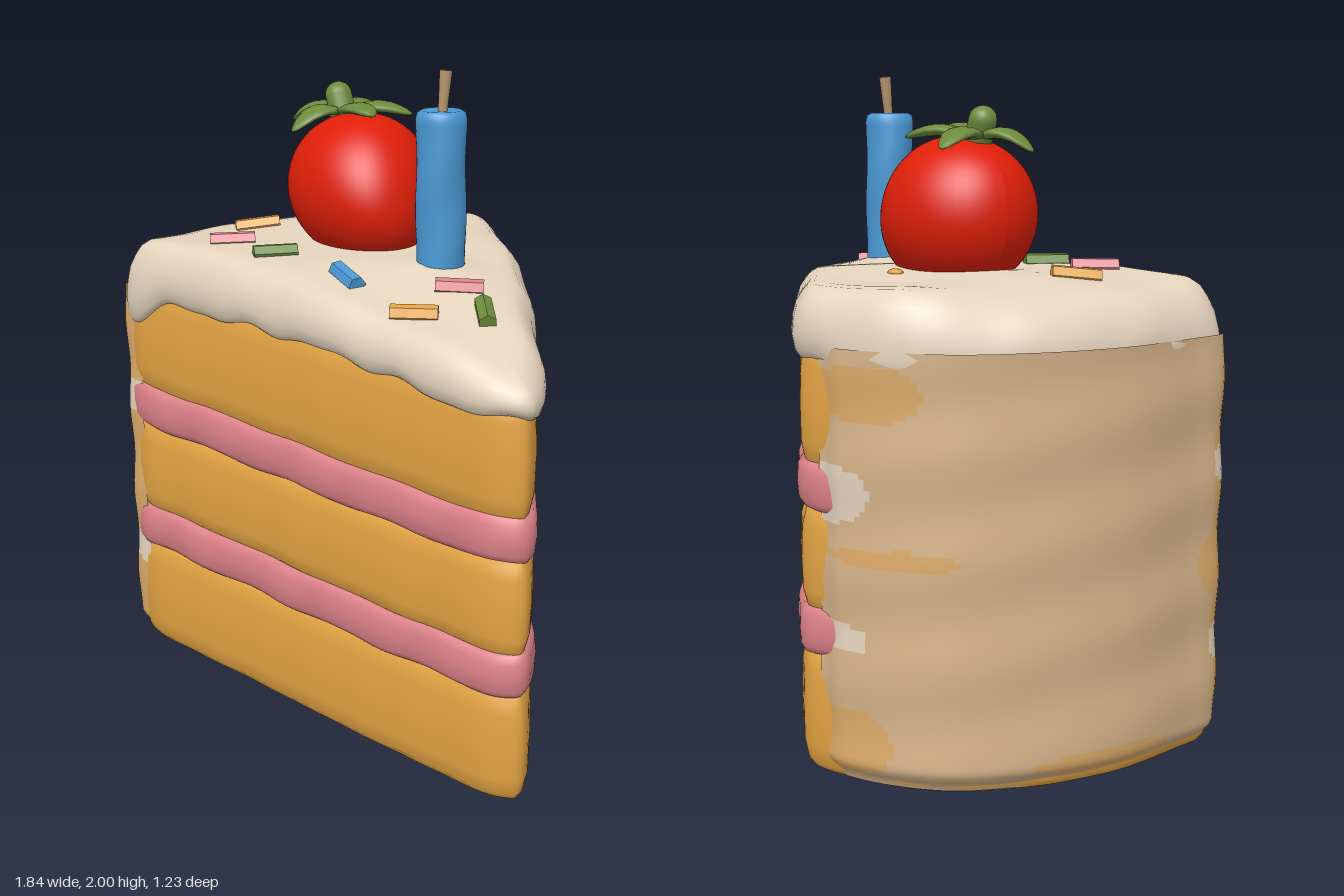
import * as THREE from 'three';

const mat = (name, color) => {
  const m = new THREE.MeshStandardMaterial({ color });
  m.name = name;
  return m;
};
const M = {
  sponge: mat('sponge yellow', 0xe4a443),
  jam: mat('berry pink', 0xdd8289),
  icing: mat('cream', 0xe6d5be),
  tan: mat('tan frosting', 0xd7b48a),
  crumb: mat('crumb smear', 0xddac6a),
  red: mat('strawberry red', 0xdf1f08),
  green: mat('leaf green', 0x6c8a3c),
  blue: mat('candle blue', 0x4a98d4),
  wick: mat('wick brown', 0xb4946c),
};
const V = (x, y, z) => new THREE.Vector3(x, y, z);
const smooth = THREE.MathUtils.smoothstep;
const bump = (x, z, cx, cz, w) => Math.exp(-((x - cx) ** 2 + (z - cz) ** 2) / w);

// Wedge outline seen from above (x, z), starting at the tip
const OUTLINE = [[0.91, 0.27], [0.85, 0.34], [0.6, 0.4], [0.2, 0.47], [-0.2, 0.53], [-0.5, 0.58],
  [-0.72, 0.605], [-0.83, 0.55], [-0.87, 0.4], [-0.91, 0.15], [-0.885, -0.1], [-0.79, -0.35],
  [-0.65, -0.49], [-0.5, -0.57], [-0.37, -0.605], [-0.27, -0.565], [0, -0.415], [0.3, -0.23],
  [0.6, -0.005], [0.8, 0.14]];
const curve = new THREE.CatmullRomCurve3(OUTLINE.map(([x, z]) => V(x, 0, z)), true);
const N = 280;
const ring = Array.from({ length: N }, (_, i) => {
  const p = curve.getPointAt(i / N), t = curve.getTangentAt(i / N);
  return { x: p.x, z: p.z, nx: t.z, nz: -t.x, u: i / N };
});

// Skin a grid of points; rows run upwards, columns follow the outline
function skin(rows, closed, pick) {
  const n = rows[0].length, pos = rows.flat().flatMap((p) => [p.x, p.y, p.z]), lists = [[], [], []];
  for (let j = 0; j < rows.length - 1; j++) {
    for (let i = 0; i < (closed ? n : n - 1); i++) {
      const a = j * n + i, b = j * n + ((i + 1) % n);
      lists[pick ? pick(rows[j][i]) : 0].push(a, a + n, b, b, a + n, b + n);
    }
  }
  const g = new THREE.BufferGeometry();
  g.setAttribute('position', new THREE.Float32BufferAttribute(pos, 3));
  g.setIndex(lists.flat());
  let start = 0;
  if (pick) lists.forEach((l, k) => { g.addGroup(start, l.length, k); start += l.length; });
  g.computeVertexNormals();
  return g;
}

// Point of the outline moved inwards, then scaled about the middle
function inset(r, d, s = 1) {
  return V(-0.2 + (r.x - r.nx * d + 0.2) * s, 0, 0.05 + (r.z - r.nz * d - 0.05) * s);
}

// One cake layer with rounded, uneven edges
function layer(y0, y1, out, round, wave) {
  const h = y1 - y0;
  const rows = [[0, round, 0], [0, round, 0.6], [0, round, 0.97], [0, round], [0.06, round * 0.45],
    [0.2, 0.003], [0.5, 0], [0.8, 0.003], [0.94, round * 0.45], [1, round], [1, round, 0.97], [1, round, 0]];
  return skin(rows.map(([t, d, s]) => ring.map((r) => {
    const w = wave * (Math.sin(r.u * 132 + y0 * 9) + Math.sin(r.u * 82 + t * 3 + y0 * 20)) * 0.3;
    const p = inset(r, d + 0.01 - out + w, s);
    p.y = (y0 + t * h) * (1 - 0.05 * (p.x + 0.7) / 1.6);
    if (y0 > 0) p.y += wave * 0.7 * Math.sin(r.u * 75 + y0 * 8);
    return p;
  })), true);
}

// Height of the icing top and of its dripping lower edge
const topY = (x, z) => 1.412 - 0.05 * smooth(x, 0.15, 0.65) - 0.085 * smooth(x, 0.55, 1)
  - 0.025 * smooth(z, 0.1, 0.35) * smooth(x, -0.1, 0.2) - 0.03 * smooth(-x, 0.6, 0.9)
  + 0.025 * bump(x, z, 0.2, 0.03, 0.015) + 0.02 * bump(x, z, -0.25, 0, 0.09)
  + 0.008 * Math.sin(9 * x + 4 * z) * Math.sin(8 * z - 3 * x);
const lowY = (x, z, u) => 1.225 - 0.065 * smooth(x, 0.1, 0.9) - 0.03 * smooth(-x, 0.5, 0.85)
  - 0.09 * bump(x, z, -0.77, 0.58, 0.025) - 0.07 * bump(x, z, -0.62, -0.5, 0.05)
  + 0.008 * Math.sin(u * 88) + 0.005 * Math.sin(u * 145);

function icing() {
  const rows = [[0.04, 0.06], [0.01, 0.035], [0, 0.015], [0.1, 0], [0.3, -0.008], [0.5, -0.004],
    [0.68, 0.006], [0.82, 0.018, 0.99], [0.92, 0.027, 0.975], [0.98, 0.033, 0.945]];
  for (let s = 0.88; s > 0; s -= 0.08) rows.push([1, 0.035, s]);
  rows.push([1, 0.035, 0]);
  return skin(rows.map(([t, d, s]) => ring.map((r) => {
    const left = 0.03 * t * smooth(-r.x, 0.7, 0.85);
    const p = inset(r, d + left + 0.004 * Math.sin(r.u * 70), s);
    const lo = lowY(r.x, r.z, r.u);
    p.y = lo + t * (topY(p.x, p.z) - lo);
    return p;
  })), true);
}

// Frosting on the curved rear, with crumb smears and cream dabs [z, y, half width, half height, slot]
const DABS = [[-0.57, 0.83, 0.05, 0.08, 2], [-0.56, 0.42, 0.04, 0.04, 2], [0.57, 0.86, 0.05, 0.06, 2],
  [0.57, 0.32, 0.05, 0.06, 2], [-0.52, 1.12, 0.1, 0.08, 1], [-0.46, 0.66, 0.12, 0.03, 1],
  [-0.55, 0.12, 0.07, 0.1, 1], [0.56, 0.56, 0.1, 0.1, 1], [0.1, 0.06, 0.25, 0.03, 1],
  [0.62, 0.62, 0.1, 0.75, 1]];
function rearFrosting() {
  const near = (x, z) => ring.reduce((b, r, i) =>
    (Math.hypot(r.x - x, r.z - z) < Math.hypot(ring[b].x - x, ring[b].z - z) ? i : b), 0);
  const arc = ring.slice(near(-0.7, 0.605), near(-0.44, -0.59) + 1);
  const rows = [];
  for (let j = 0; j <= 80; j++) {
    const t = j / 80;
    rows.push(arc.map((r, i) => {
      const k = i / (arc.length - 1), end = Math.min(k, 1 - k);
      const d = 0.024 * (1 - smooth(end, 0, 0.06)) + 0.04 * (1 - smooth(t, 0, 0.05))
        + 0.004 * Math.sin(t * 26 + k * 5) - 0.006;
      const p = inset(r, d);
      p.y = 0.005 + t * 1.245;
      return p;
    }));
  }
  return skin(rows, false, (p) => {
    const d = DABS.find(([z, y, w, h]) => ((p.z - z) / w) ** 2 + ((p.y - y) / h) ** 2 < 1);
    return d ? d[4] : 0;
  });
}

// Move every vertex by a rule
function warp(g, rule) {
  const a = g.attributes.position, v = V(0, 0, 0);
  for (let i = 0; i < a.count; i++) {
    rule(v.fromBufferAttribute(a, i));
    a.setXYZ(i, v.x, v.y, v.z);
  }
  g.computeVertexNormals();
  return g;
}

export function createModel() {
  const model = new THREE.Group();
  model.name = 'cakeSlice';
  const add = (name, g, m, parent = model) => {
    const mesh = new THREE.Mesh(g, m);
    mesh.name = name;
    parent.add(mesh);
    return mesh;
  };

  // Sponge and filling layers
  [[0, 0.36], [0.475, 0.79], [0.9, 1.275]].forEach(([a, b], i) =>
    add('spongeLayer' + (i + 1), layer(a, b, 0, 0.03, 0.003), M.sponge));
  [[0.345, 0.495], [0.775, 0.925]].forEach(([a, b], i) =>
    add('fillingLayer' + (i + 1), layer(a, b, 0.008, 0.035, 0.006), M.jam));
  add('rearFrosting', rearFrosting(), [M.tan, M.crumb, M.icing]);
  add('topIcing', icing(), M.icing);

  // Strawberry, blunt towards the tip of the slice, with leaves and stem
  const berry = new THREE.Group();
  berry.name = 'strawberry';
  model.add(berry);
  add('berryFlesh', warp(new THREE.SphereGeometry(1, 48, 32), (v) => {
    const { x, y, z } = v, side = Math.max(0, x), full = 1 + 0.12 * x * x * y * y;
    v.set(-0.25 + (0.266 * x - 0.04 * side * y) * full, 1.585 + 0.235 * y * full - 0.006 * x * (1 - y),
      0.232 * z + 0.04 * side * side);
  }), M.red, berry);
  [[-0.44, -0.18, 1.785], [-0.16, -0.13, 1.815], [-0.12, 0.05, 1.83], [-0.33, 0.215, 1.77], [-0.515, 0.09, 1.775]]
    .forEach(([x, z, y]) => {
      const dx = x + 0.34, dz = z - 0.015, len = Math.hypot(dx, dz);
      const leaf = add('berryLeaf', warp(new THREE.SphereGeometry(1, 16, 12), (v) => {
        const t = (v.x + 1) / 2;
        v.set(t * len, 0.018 * v.y + (y - 1.81) * t * t + 0.025 * Math.sin(Math.PI * t),
          0.056 * v.z * (1 - 0.4 * t * t));
      }), M.green, berry);
      leaf.position.set(-0.34, 1.81, 0.015);
      leaf.rotation.y = Math.atan2(-dz, dx);
    });
  const stem = add('berryStem', new THREE.CapsuleGeometry(0.043, 0.06, 8, 16), M.green, berry);
  stem.position.set(-0.35, 1.838, 0.015);
  stem.rotation.z = 0.4;

  // Candle with a shallow spiral, and its flared wick
  const rim = [[0, 1.36], [0.074, 1.36]];
  for (let i = 1; i < 30; i++) rim.push([0.075, 1.36 + i * 0.0172]);
  rim.push([0.07, 1.878], [0.058, 1.885], [0, 1.88]);
  const candle = warp(new THREE.LatheGeometry(rim.map(([r, y]) => new THREE.Vector2(r, y)), 40), (v) => {
    const k = 1 + 0.03 * Math.sin(2 * Math.atan2(v.z, v.x) + v.y * 22);
    v.x *= k;
    v.z *= k;
  });
  add('candle', candle, M.blue).position.set(0.197, 0, 0.03);
  const wick = add('wick', new THREE.CylinderGeometry(0.019, 0.013, 0.14, 10), M.wick);
  wick.position.set(0.196, 1.93, 0.02);
  wick.rotation.x = -0.1;

  // Sprinkles lying on the icing: ends (x, z) to (x, z)
  [[-0.64, 0.245, -0.575, 0.115, M.sponge], [-0.475, 0.44, -0.405, 0.315, M.jam],
    [-0.245, 0.42, -0.19, 0.295, M.green], [0.045, 0.305, 0.185, 0.328, M.blue],
    [0.34, 0.16, 0.43, 0.05, M.jam], [0.51, 0.118, 0.625, 0.192, M.green], [0.39, 0.36, 0.48, 0.255, M.sponge]]
    .forEach(([x0, z0, x1, z1, m]) => {
      const a = V(x0, topY(x0, z0) + 0.005, z0), b = V(x1, topY(x1, z1) + 0.005, z1);
      const g = new THREE.CylinderGeometry(0.028, 0.028, a.distanceTo(b), 6).toNonIndexed();
      g.computeVertexNormals();
      const s = add('sprinkle', g, m);
      s.position.copy(a).lerp(b, 0.5);
      s.quaternion.setFromUnitVectors(V(0, 1, 0), b.sub(a).normalize());
    });
  // Loose crumb behind the strawberry
  const crumb = add('crumb', new THREE.SphereGeometry(1, 12, 8), M.sponge);
  crumb.scale.set(0.03, 0.012, 0.022);
  crumb.position.set(-0.27, topY(-0.27, -0.23), -0.23);
  return model;
}
